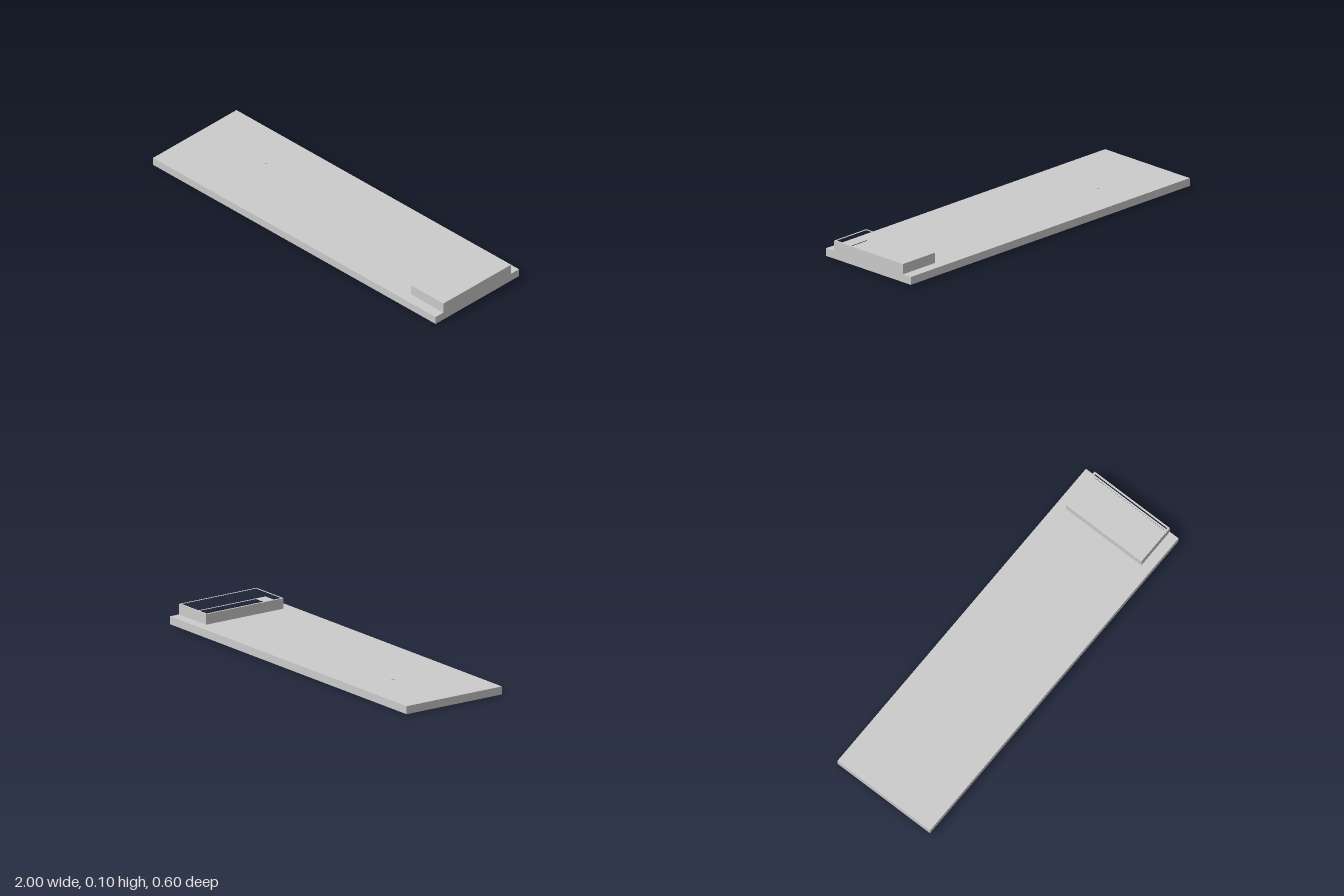
import * as THREE from 'three';

const material = new THREE.MeshStandardMaterial({ color: 0xcccccc });

// Rectangle corners [x0, z0, x1, z1] as 2D points
const corners = ([x0, z0, x1, z1]) =>
  [[x0, z0], [x1, z0], [x1, z1], [x0, z1]].map(([x, z]) => new THREE.Vector2(x, -z));

// Flat slab between heights y0 and y1, with an optional rectangular opening
function slab(name, outer, y0, y1, opening) {
  const shape = new THREE.Shape(corners(outer));
  if (opening) shape.holes.push(new THREE.Path(corners(opening)));
  const geometry = new THREE.ExtrudeGeometry(shape, { depth: y1 - y0, bevelEnabled: false });
  geometry.rotateX(-Math.PI / 2);
  const mesh = new THREE.Mesh(geometry, material);
  mesh.name = name;
  mesh.position.y = y0;
  return mesh;
}

// Small upright disc between heights y0 and y1
function disc(name, radius, x, z, y0, y1, sides = 16) {
  const mesh = new THREE.Mesh(new THREE.CylinderGeometry(radius, radius, y1 - y0, sides), material);
  mesh.name = name;
  mesh.position.set(x, (y0 + y1) / 2, z);
  return mesh;
}

export function createModel() {
  const model = new THREE.Group();
  model.name = 'boardWithTray';

  const board = [-1, -0.298, 1, 0.298];
  const tray = [0.77, -0.242, 1, 0.242];
  const recess = [0.78, -0.232, 0.99, 0.232];
  const bottom = 0.002, floor = 0.006, top = 0.044;

  // Thin closed underside, then the board with the tray's recess cut into it
  model.add(slab('basePlate', board, bottom, floor));
  model.add(slab('board', board, floor, top, recess));

  // Raised rim around the recess
  model.add(slab('trayRim', tray, top, 0.099, recess));

  // Small button on top and low foot below
  model.add(disc('button', 0.011, -0.57, -0.07, top - 0.004, 0.047));
  model.add(disc('foot', 0.007, -0.57, 0, 0, bottom + 0.002));

  // Tiny pin tips just breaking the top surface
  for (const [x, z] of [[-0.75, -0.03], [-0.7, -0.05], [-0.72, 0.04], [-0.69, 0]]) {
    model.add(disc('pinTip', 0.002, x, z, top - 0.004, top + 0.0005, 8));
  }

  return model;
}
